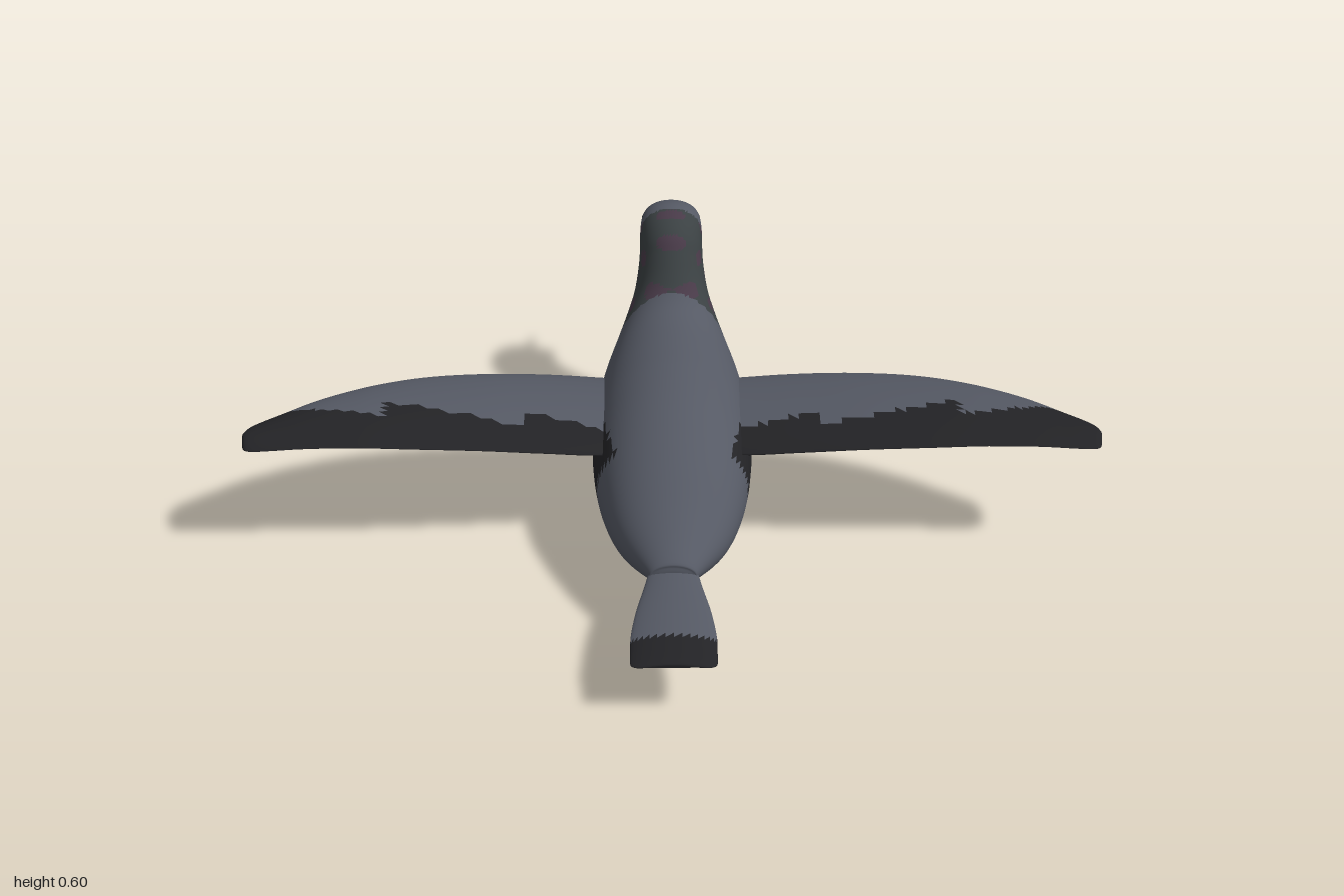
import * as THREE from 'three';

const GREY = 0x555964, DARK = 0x232326, GREEN = 0x3b4143, PURPLE = 0x483a48;

// Smoothly resample rows of numbers, never overshooting the given values
function sample(rows, steps) {
  const out = [];
  for (let i = 0; i < rows.length - 1; i++) {
    const p0 = rows[Math.max(i - 1, 0)], p1 = rows[i], p2 = rows[i + 1];
    const p3 = rows[Math.min(i + 2, rows.length - 1)];
    for (let k = 0; k < steps; k++) {
      const t = k / steps;
      out.push(p1.map((b, c) => {
        const a = p0[c], d = p2[c], e = p3[c];
        const v = b + 0.5 * t * (d - a + t * (2 * a - 5 * b + 4 * d - e + t * (3 * (b - d) + e - a)));
        return Math.min(Math.max(v, Math.min(b, d)), Math.max(b, d));
      }));
    }
  }
  out.push(rows[rows.length - 1]);
  return out;
}

// Skin closed rings of points, then split the faces into one mesh per colour
function loft(name, rings, colorAt) {
  const n = rings[0].length, pos = rings.flat(2), index = [];
  for (let i = 0; i < rings.length - 1; i++) {
    for (let j = 0; j < n; j++) {
      const a = i * n + j, b = i * n + (j + 1) % n;
      index.push(a, a + n, b, b, a + n, b + n);
    }
  }
  // Close both ends
  const last = (rings.length - 1) * n;
  for (let j = 1; j < n - 1; j++) {
    index.push(0, j, j + 1, last, last + j + 1, last + j);
  }
  const whole = new THREE.BufferGeometry();
  whole.setAttribute('position', new THREE.Float32BufferAttribute(pos, 3));
  whole.setIndex(index);
  whole.computeVertexNormals();

  const faces = new Map();
  for (let f = 0; f < index.length; f += 3) {
    const tri = index.slice(f, f + 3);
    const mid = [0, 1, 2].map(c => tri.reduce((s, v) => s + pos[v * 3 + c] / 3, 0));
    const color = colorAt(...mid);
    if (!faces.has(color)) faces.set(color, []);
    faces.get(color).push(...tri);
  }
  const group = new THREE.Group();
  group.name = name;
  for (const [color, list] of faces) {
    const geo = new THREE.BufferGeometry();
    geo.setAttribute('position', whole.attributes.position);
    geo.setAttribute('normal', whole.attributes.normal);
    geo.setIndex(list);
    const mesh = new THREE.Mesh(geo, new THREE.MeshStandardMaterial({ color }));
    mesh.name = name + (color === GREY ? 'Plumage' : color === DARK ? 'DarkBand' : 'Sheen');
    group.add(mesh);
  }
  return group;
}

const ring = (n, point) => Array.from({ length: n }, (_, j) => point(j / n * Math.PI * 2));
const saw = v => v - Math.floor(v);

// Body, neck and head in one skin: top z, top y, bottom z, bottom y, half width
function makeBody() {
  const rows = [
    [0.416, 0.18, 0.416, 0.175, 0.005],
    [0.413, 0.2, 0.413, 0.155, 0.045],
    [0.4, 0.218, 0.4, 0.14, 0.062],
    [0.29, 0.272, 0.29, 0.08, 0.128],
    [0.17, 0.332, 0.17, 0.04, 0.168],
    [0.03, 0.378, 0.03, 0.01, 0.188],
    [-0.1, 0.397, -0.09, 0.003, 0.191],
    [-0.2, 0.402, -0.2, 0.022, 0.183],
    [-0.28, 0.408, -0.3, 0.066, 0.165],
    [-0.33, 0.422, -0.4, 0.15, 0.138],
    [-0.365, 0.447, -0.47, 0.24, 0.112],
    [-0.39, 0.48, -0.515, 0.32, 0.092],
    [-0.42, 0.527, -0.538, 0.4, 0.081],
    [-0.445, 0.562, -0.556, 0.45, 0.078],
    [-0.485, 0.59, -0.58, 0.483, 0.077],
    [-0.536, 0.601, -0.603, 0.503, 0.071],
    [-0.58, 0.592, -0.616, 0.522, 0.055],
    [-0.607, 0.573, -0.621, 0.54, 0.028],
    [-0.618, 0.557, -0.62, 0.555, 0.002],
  ];
  const rings = sample(rows, 6).map(([zt, yt, zb, yb, w]) => ring(64, a => [
    w * Math.cos(a),
    (yt + yb) / 2 + (yt - yb) / 2 * Math.sin(a),
    (zt + zb) / 2 + (zt - zb) / 2 * Math.sin(a),
  ]));
  return loft('body', rings, (x, y, z) => {
    // Stepped dark bar on each flank, below the wing
    const shift = y < 0.15 ? 0.01 : y < 0.2 ? 0 : -0.015;
    if (y > 0.07 && y < 0.3 && z > shift - 0.005 && z < shift + 0.125) return DARK;
    // Iridescent collar with purple flecks at its edges
    const low = 0.29 + 0.03 * saw(z * 25);
    if (y > low && z < -0.365 && z > -0.52) {
      const fleck = Math.sin(z * 70 + y * 35) * Math.sin(y * 60);
      return fleck > 0.55 || (y < low + 0.03 && fleck > 0) ? PURPLE : GREEN;
    }
    return GREY;
  });
}

// Wing, side = 1 for the left and -1 for the right: x, leading z, trailing z, y, half thickness
function makeWing(side) {
  const rows = [
    [0.06, -0.25, 0.04, 0.27, 0.022],
    [0.16, -0.248, 0.075, 0.28, 0.022],
    [0.3, -0.235, 0.095, 0.3, 0.019],
    [0.45, -0.21, 0.112, 0.32, 0.016],
    [0.6, -0.175, 0.125, 0.334, 0.013],
    [0.73, -0.125, 0.129, 0.341, 0.011],
    [0.84, -0.07, 0.13, 0.34, 0.009],
    [0.92, -0.018, 0.13, 0.335, 0.008],
    [0.97, 0.015, 0.128, 0.331, 0.007],
    [0.992, 0.035, 0.118, 0.329, 0.005],
    [1.0, 0.06, 0.09, 0.328, 0.002],
  ];
  const rings = sample(rows, 6).map(([x, zl, zt, y, h]) => ring(48, t => {
    const a = t * side, c = Math.cos(a);
    // Rounded leading edge, thinner trailing edge, gently cambered chord
    return [x * side, y - 0.012 * c * c + h * Math.sin(a) * (1 - 0.35 * c), (zl + zt) / 2 + (zt - zl) / 2 * c];
  }));
  return loft(side > 0 ? 'leftWing' : 'rightWing', rings, (x, y, z) => {
    const edge = 0.025 - 0.055 * saw(Math.abs(x) * 3.1 + 0.9);
    return z > edge ? DARK : GREY;
  });
}

// Tail fan, from the rear forward: z, half width, y, half thickness
function makeTail() {
  const rows = [
    [0.688, 0.06, 0.151, 0.002],
    [0.684, 0.084, 0.152, 0.005],
    [0.668, 0.094, 0.154, 0.007],
    [0.6, 0.094, 0.16, 0.009],
    [0.52, 0.083, 0.166, 0.01],
    [0.44, 0.064, 0.172, 0.011],
    [0.37, 0.05, 0.177, 0.011],
  ];
  const rings = sample(rows, 6).map(([z, w, y, h]) => ring(32, a => {
    const x = w * Math.cos(a);
    return [x, y + 0.004 - 1.2 * x * x + h * Math.sin(a), z];
  }));
  return loft('tail', rings, (x, y, z) => (z > 0.605 ? DARK : GREY));
}

export function createModel() {
  const bird = new THREE.Group();
  bird.name = 'flyingBird';
  bird.add(makeBody(), makeTail());

  const eyeGeo = new THREE.SphereGeometry(0.016, 20, 14);
  const eyeMat = new THREE.MeshStandardMaterial({ color: 0x18181a });
  for (const side of [1, -1]) {
    bird.add(makeWing(side));
    const eye = new THREE.Mesh(eyeGeo, eyeMat);
    eye.name = side > 0 ? 'leftEye' : 'rightEye';
    eye.position.set(side * 0.058, 0.535, -0.588);
    bird.add(eye);
  }

  // Slim beak pointing forward and slightly down
  const beak = new THREE.Mesh(
    new THREE.CylinderGeometry(0.003, 0.012, 0.085, 16),
    new THREE.MeshStandardMaterial({ color: 0x4a4a4d })
  );
  beak.name = 'beak';
  beak.rotation.x = -Math.PI / 2 - 0.12;
  beak.position.set(0, 0.52, -0.646);
  bird.add(beak);
  return bird;
}
